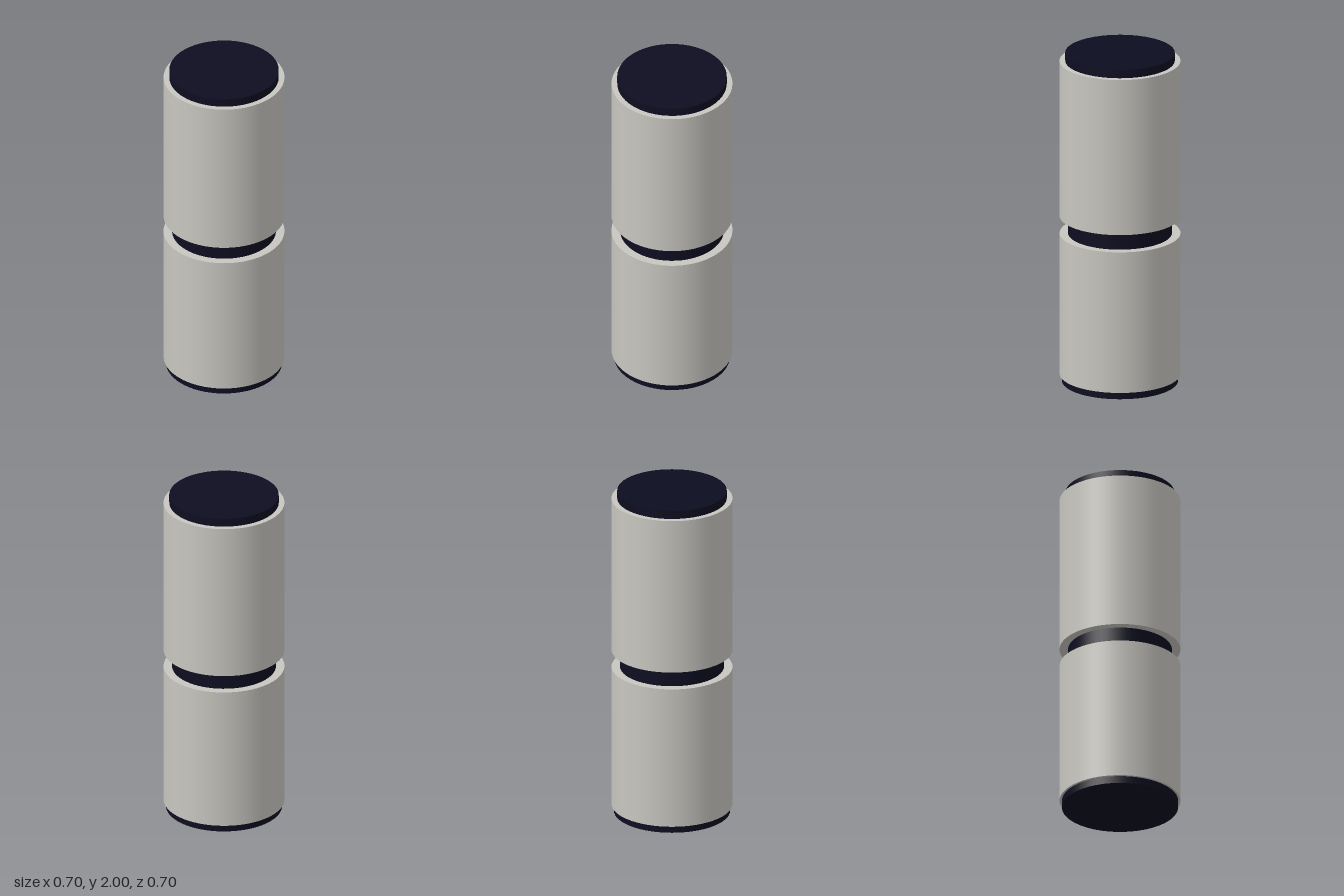
import * as THREE from 'three';

export function createModel() {
  const model = new THREE.Group();
  const shell = new THREE.MeshStandardMaterial({ color: 0xc8c6c0 });
  shell.name = 'warm grey';
  const dark = new THREE.MeshStandardMaterial({ color: 0x0d0d21 });
  dark.name = 'dark navy';

  // Upright cylinder between two heights
  function drum(name, radius, y0, y1, material) {
    const mesh = new THREE.Mesh(new THREE.CylinderGeometry(radius, radius, y1 - y0, 64), material);
    mesh.position.y = (y0 + y1) / 2;
    mesh.name = name;
    model.add(mesh);
  }

  drum('bottomCap', 0.335, 0, 0.043, dark);
  drum('lowerBody', 0.349, 0.043, 0.9, shell);
  drum('middleNeck', 0.3, 0.9, 1.005, dark);
  drum('upperBody', 0.349, 1.005, 1.95, shell);
  drum('topCap', 0.316, 1.95, 2, dark);
  return model;
}
